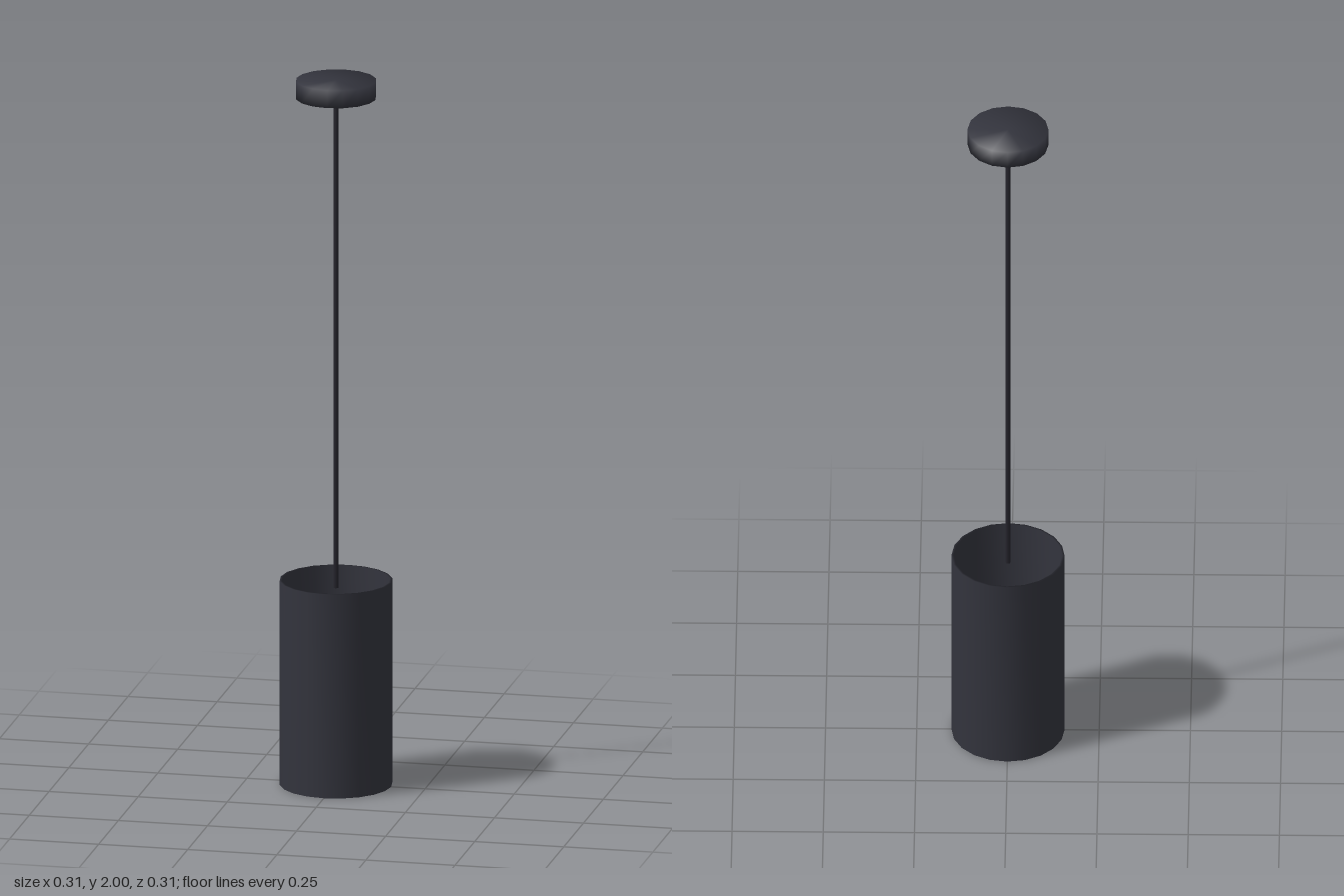
import * as THREE from 'three';
import { mergeVertices } from 'three/addons/utils/BufferGeometryUtils.js';

// Shares vertices across edges so the shading rolls softly over every rim.
function soften(geometry) {
  geometry.deleteAttribute('uv');
  geometry.deleteAttribute('normal');
  const merged = mergeVertices(geometry, 1e-4);
  merged.computeVertexNormals();
  return merged;
}

export function createModel() {
  const model = new THREE.Group();
  model.name = 'pendantLamp';

  const darkMetal = new THREE.MeshStandardMaterial({ color: 0x33343d });
  darkMetal.name = 'darkMetal';
  const cordBlack = new THREE.MeshStandardMaterial({ color: 0x25242c });
  cordBlack.name = 'cordBlack';
  const warmDiffuser = new THREE.MeshStandardMaterial({ color: 0xe6dabb });
  warmDiffuser.name = 'warmDiffuser';

  const add = (name, geometry, material) => {
    const mesh = new THREE.Mesh(geometry, material);
    mesh.name = name;
    model.add(mesh);
  };

  // Upright solid cylinder between two heights
  const rod = (radius, bottom, top, sides) =>
    soften(new THREE.CylinderGeometry(radius, radius, top - bottom, sides)
      .translate(0, (bottom + top) / 2, 0));

  // Ceiling canopy and hanging cord
  add('canopy', rod(0.111, 1.95, 2, 16), darkMetal);
  add('cord', rod(0.007, 0.557, 1.95, 8), cordBlack);

  // Thin-walled tube shade, open at both ends
  const inner = 0.149, outer = 0.155, height = 0.58;
  const wall = [[inner, 0], [outer, 0], [outer, height], [inner, height], [inner, 0]]
    .map(([r, y]) => new THREE.Vector2(r, y));
  add('shade', soften(new THREE.LatheGeometry(wall, 20)), darkMetal);

  // Light diffuser set into the lower opening
  add('diffuser', rod(0.148, 0.004, 0.03, 16), warmDiffuser);

  return model;
}
